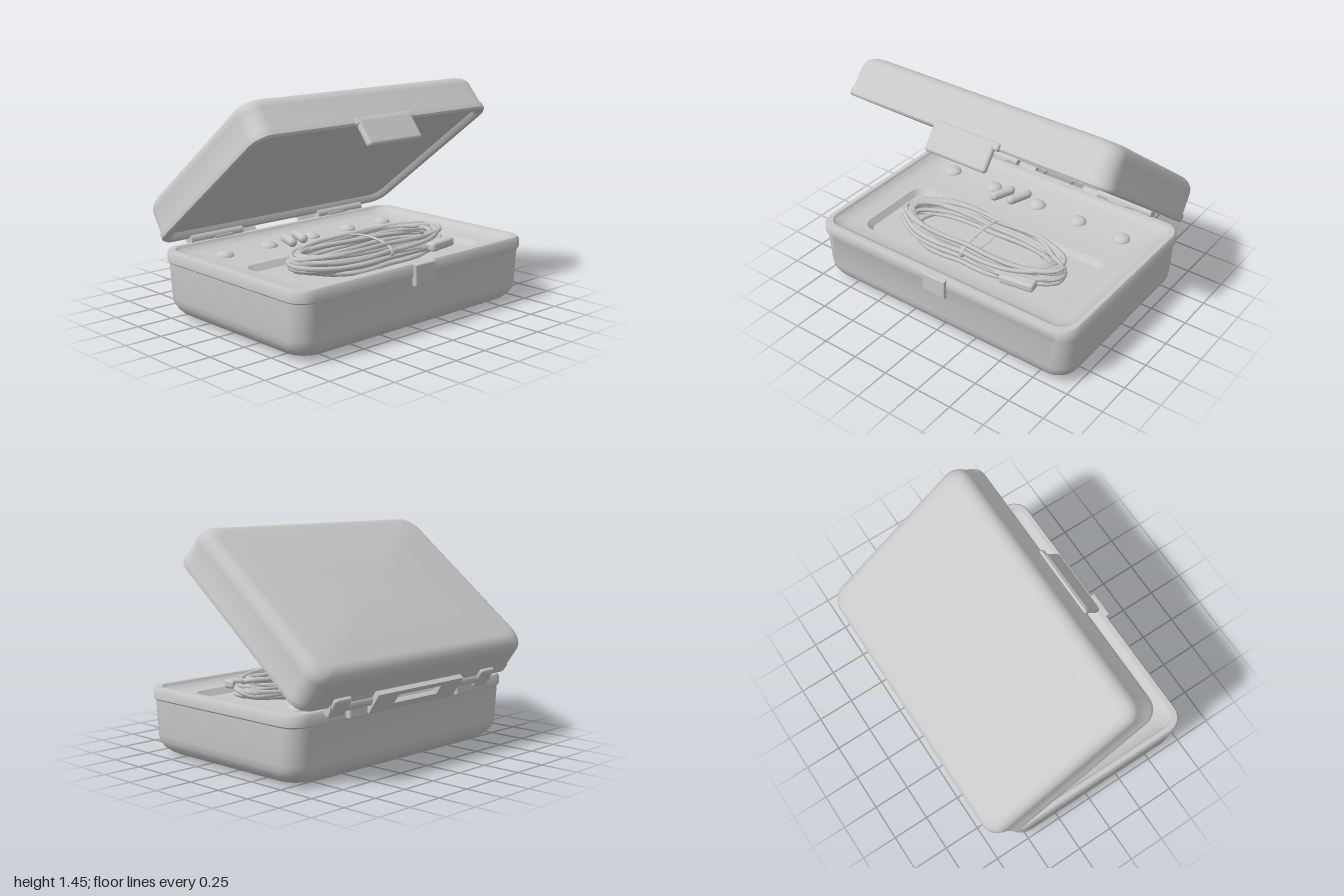
import * as THREE from 'three';
import { toCreasedNormals } from 'three/addons/utils/BufferGeometryUtils.js';
import { RoundedBoxGeometry } from 'three/addons/geometries/RoundedBoxGeometry.js';

const grey = new THREE.MeshStandardMaterial({ color: 0xc8c8c8, side: THREE.DoubleSide });
grey.name = 'plain grey';

function add(parent, name, geometry, x = 0, y = 0, z = 0) {
  const mesh = new THREE.Mesh(geometry, grey);
  mesh.name = name;
  mesh.position.set(x, y, z);
  parent.add(mesh);
  return mesh;
}

// Skin over rounded rectangles; each ring is [half width, half depth, y, corner radius, z centre]
function shell(rings, steps = 6) {
  const pos = [], index = [], n = 4 * (steps + 1);
  for (const [hx, hz, y, radius, cz = 0] of rings) {
    const r = Math.min(radius, hx, hz);
    for (let q = 0; q < 4; q++) {
      const sx = q === 0 || q === 3 ? 1 : -1, sz = q < 2 ? 1 : -1;
      for (let s = 0; s <= steps; s++) {
        const a = (q + s / steps) * Math.PI / 2;
        pos.push(sx * (hx - r) + r * Math.cos(a), y, cz + sz * (hz - r) + r * Math.sin(a));
      }
    }
  }
  for (let i = 0; i < rings.length - 1; i++) {
    for (let j = 0; j < n; j++) {
      const k = (j + 1) % n, a = i * n + j, b = i * n + k;
      index.push(a, a + n, b, b, a + n, b + n);
    }
  }
  const g = new THREE.BufferGeometry();
  g.setAttribute('position', new THREE.Float32BufferAttribute(pos, 3));
  g.setIndex(index);
  return toCreasedNormals(g, 0.7);
}

// Quarter-round edge between a flat face at yFace and a side wall
function fillet(hx, hz, yFace, r, dir, corner, reverse = false) {
  const out = [];
  for (let i = 0; i <= 5; i++) {
    const a = (i / 5) * Math.PI / 2, inset = r * (1 - Math.sin(a));
    out.push([hx - inset, hz - inset, yFace + dir * r * (1 - Math.cos(a)), corner]);
  }
  return reverse ? out.reverse() : out;
}

// Closed outline through a list of corners
function outline(path, corners) {
  path.setFromPoints(corners.map(([x, y]) => new THREE.Vector2(x, y)));
  path.closePath();
  return path;
}

// Cable wound into a flat bundle, slightly pinched at the middle
function cableCoil() {
  let seed = 7;
  const rand = () => (seed = (seed * 16807) % 2147483647) / 2147483647;
  const pts = [], turns = 18, per = 20;
  for (let t = 0; t < turns; t++) {
    const w = 0.5 + 0.14 * rand(), d = 0.15 + 0.11 * rand();
    const h = 0.375 + 0.115 * (t / turns), tilt = 0.025 * (rand() - 0.5), ox = 0.05 * (rand() - 0.5);
    for (let i = 0; i < per; i++) {
      const a = (i / per) * Math.PI * 2, c = Math.cos(a);
      const pinch = 0.82 + 0.18 * Math.min(1, Math.abs(c) * 1.7);
      pts.push(new THREE.Vector3(ox + w * c, h + tilt * c + 0.01 * Math.sin(a * 2 + t), d * pinch * Math.sin(a)));
    }
  }
  return new THREE.TubeGeometry(new THREE.CatmullRomCurve3(pts), 1100, 0.016, 6);
}

export function createModel() {
  const model = new THREE.Group();
  model.name = 'openCase';

  // Base with rim, raised tray and a pocket for the cable
  const base = new THREE.Group();
  base.name = 'base';
  base.position.z = 0.07;
  model.add(base);
  add(base, 'baseShell', shell([
    [0, 0, 0, 0],
    ...fillet(0.98, 0.668, 0, 0.13, 1, 0.13),
    [0.986, 0.674, 0.355, 0.12],
    [0.998, 0.682, 0.365, 0.12], [0.998, 0.682, 0.42, 0.12], [0.985, 0.67, 0.438, 0.11],
    [0.955, 0.64, 0.438, 0.1], [0.945, 0.63, 0.42, 0.1],
    [0.88, 0.57, 0.395, 0.09],
    [0.78, 0.3, 0.39, 0.08, 0.19], [0.75, 0.27, 0.35, 0.07, 0.19], [0, 0, 0.35, 0, 0.19],
  ]));

  // Catch on the front of the base
  const catchShape = outline(new THREE.Shape(), [[-0.08, 0.428], [-0.075, 0.312], [0.075, 0.312], [0.08, 0.428]]);
  add(model, 'frontCatch', new THREE.ExtrudeGeometry(catchShape, {
    depth: 0.035, bevelEnabled: true, bevelSize: 0.01, bevelThickness: 0.01, bevelSegments: 3,
  }), 0, 0, 0.727);

  // Lid, tilted open, with a shallow inner panel
  const lid = new THREE.Group();
  lid.name = 'lid';
  lid.position.set(0, 0.859, -0.111);
  lid.rotation.x = -0.659;
  model.add(lid);
  add(lid, 'lidShell', shell([
    [0, 0, 0.04, 0], [0.935, 0.61, 0.04, 0.08],
    [0.945, 0.62, 0.01, 0.08], [0.955, 0.63, 0, 0.08],
    [0.985, 0.655, 0, 0.1], [0.998, 0.667, 0.012, 0.11], [0.998, 0.667, 0.045, 0.11],
    [0.988, 0.664, 0.06, 0.11],
    ...fillet(0.983, 0.66, 0.285, 0.085, -1, 0.11, true),
    [0, 0, 0.287, 0],
  ]));
  add(lid, 'latchFlap', new RoundedBoxGeometry(0.46, 0.19, 0.045, 3, 0.02), -0.01, -0.06, 0.668);
  add(lid, 'latchBridge', new RoundedBoxGeometry(0.5, 0.05, 0.05, 2, 0.015), 0, 0.02, 0.66);

  // Hinge strip with a central slot, barrels, knuckles and arms
  const strip = outline(new THREE.Shape(), [[-0.4, -0.08], [0.4, -0.08], [0.4, 0.07], [-0.4, 0.07]]);
  strip.holes.push(outline(new THREE.Path(), [[-0.2, -0.03], [-0.2, 0.035], [0.2, 0.035], [0.2, -0.03]]));
  const hinge = new THREE.Group();
  hinge.name = 'hinge';
  hinge.position.set(0, 0.45, -0.645);
  hinge.rotation.x = -0.6;
  model.add(hinge);
  add(hinge, 'hingeStrip', new THREE.ExtrudeGeometry(strip, { depth: 0.035, bevelEnabled: false }), 0, 0, -0.03);
  for (const s of [-1, 1]) {
    const side = s < 0 ? 'right' : 'left';
    const barrel = add(model, side + 'HingeBarrel', new THREE.CylinderGeometry(0.036, 0.036, 0.42, 14), s * 0.55, 0.452, -0.625);
    barrel.rotation.z = Math.PI / 2;
    add(model, side + 'HingeKnuckle', new RoundedBoxGeometry(0.16, 0.1, 0.06, 2, 0.015), s * 0.5, 0.41, -0.615);
    add(hinge, side + 'HingeArm', new RoundedBoxGeometry(0.14, 0.14, 0.06, 2, 0.015), s * 0.68, 0.005, 0.01);
  }

  // Cable bundle, its tie and plug
  add(model, 'cableCoil', cableCoil(), 0, 0, 0.265);
  const tie = add(model, 'cableTie', new THREE.TorusGeometry(0.22, 0.016, 6, 24), 0, 0.445, 0.265);
  tie.rotation.y = Math.PI / 2;
  tie.scale.y = 0.3;
  const plug = add(model, 'cablePlug', new RoundedBoxGeometry(0.24, 0.06, 0.08, 2, 0.02), 0.44, 0.425, 0.48);
  plug.rotation.y = 0.15;

  // Row of small tips and a connector at the back of the tray
  for (const x of [-0.7, -0.34, 0.03, 0.36, 0.7]) {
    const tip = add(model, 'smallTip', new THREE.SphereGeometry(0.06, 14, 8, 0, Math.PI * 2, 0, Math.PI / 2), x, 0.39, -0.32);
    tip.scale.y = 0.6;
  }
  for (const [x, z] of [[-0.22, -0.26], [-0.1, -0.29]]) {
    const pin = add(model, 'connector', new THREE.CapsuleGeometry(0.032, 0.13, 4, 10), x, 0.425, z);
    pin.rotation.set(Math.PI / 2, 0, 0.35);
  }
  return model;
}
